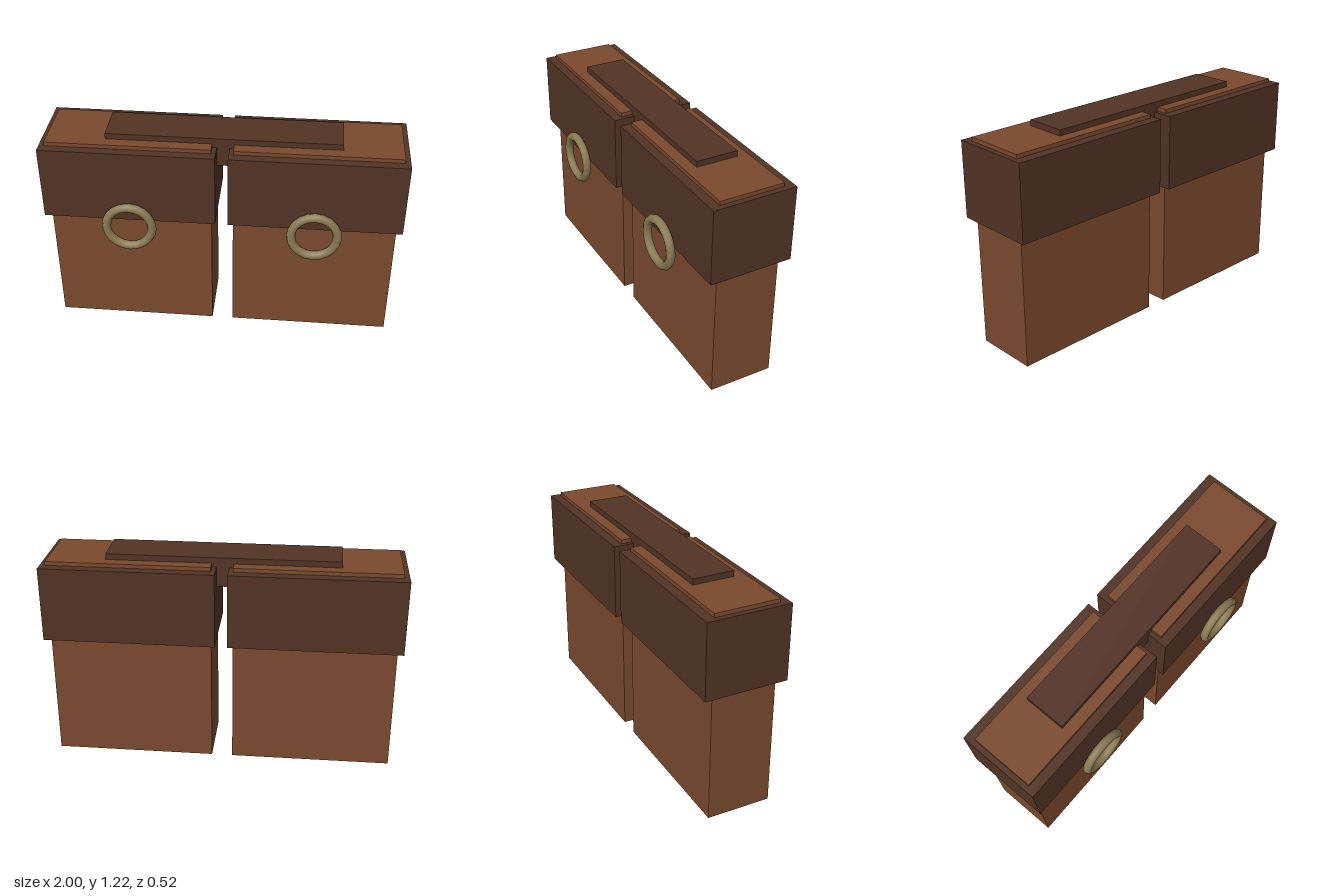
import * as THREE from 'three';

function material(name, color) {
  const m = new THREE.MeshStandardMaterial({ color });
  m.name = name;
  return m;
}

export function createModel() {
  const leather = material('tan leather', 0x7a4a2e);
  const darkLeather = material('dark leather', 0x523324);
  const brass = material('aged brass', 0x8a7b52);
  const model = new THREE.Group();
  model.name = 'saddlebags';

  // Box given by its minimum and maximum corners
  function box(name, mat, [x0, y0, z0], [x1, y1, z1]) {
    const mesh = new THREE.Mesh(new THREE.BoxGeometry(x1 - x0, y1 - y0, z1 - z0), mat);
    mesh.position.set((x0 + x1) / 2, (y0 + y1) / 2, (z0 + z1) / 2);
    mesh.name = name;
    return mesh;
  }

  // Two mirrored pouches, each with a flap and a ring on the front
  for (const [side, s] of [['left', 1], ['right', -1]]) {
    const bag = new THREE.Group();
    bag.name = side + 'Bag';
    const pouch = box('pouch', leather, [0.06, 0, -0.205], [0.97, 1.185, 0.16]);
    const flap = box('flap', darkLeather, [0.035, 0.735, -0.26], [1, 1.163, 0.212]);
    const ring = new THREE.Mesh(new THREE.TorusGeometry(0.129, 0.0255, 8, 20), brass);
    ring.name = 'ring';
    ring.position.set(0.516, 0.703, 0.236);
    bag.add(pouch, flap, ring);
    for (const part of bag.children) part.position.x *= s;
    model.add(bag);
  }

  // Strap joining the pouches over the top
  model.add(box('strap', darkLeather, [-0.645, 1.05, -0.142], [0.645, 1.218, 0.095]));
  return model;
}
